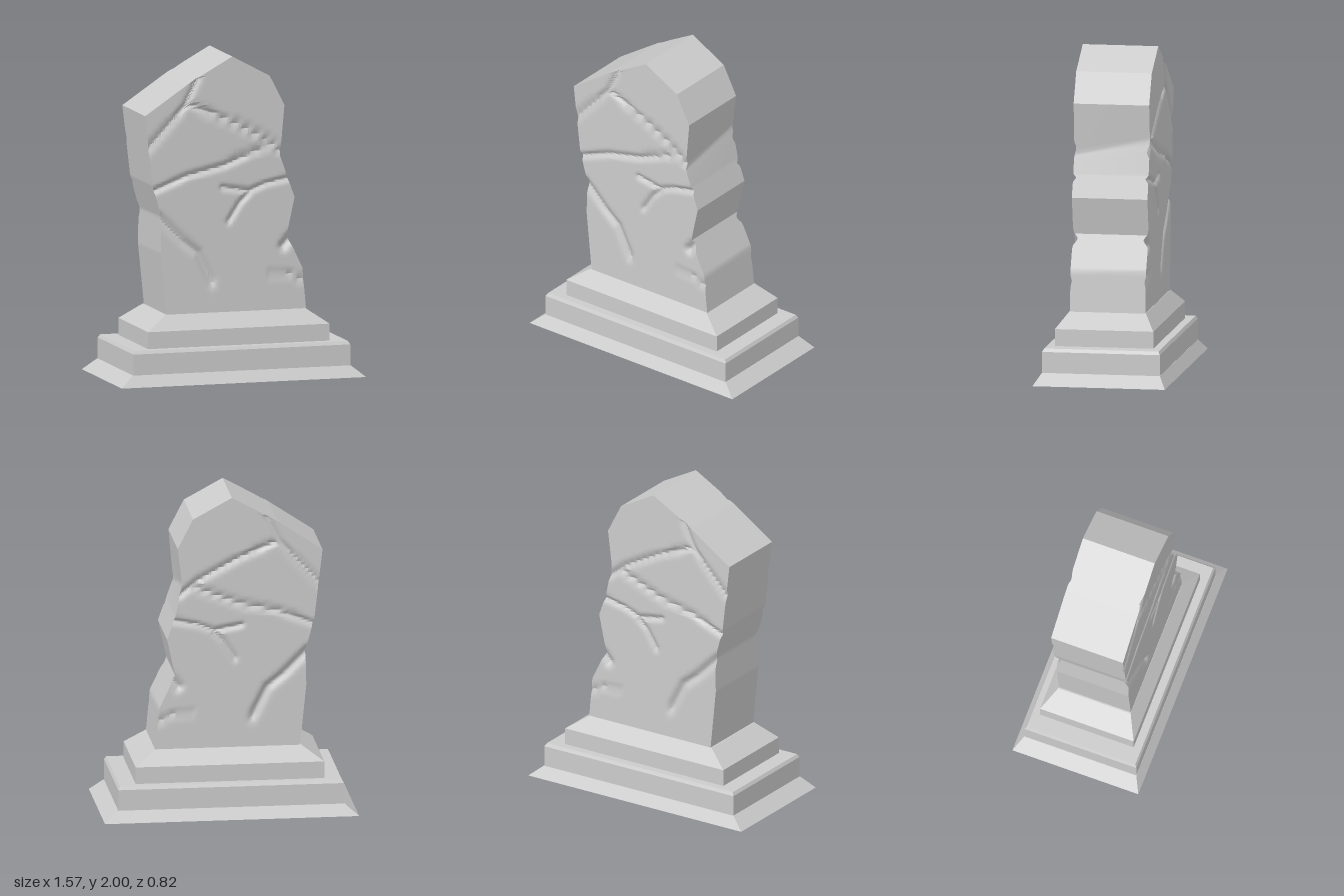
import * as THREE from 'three';
import { toCreasedNormals } from 'three/addons/utils/BufferGeometryUtils.js';

const stone = new THREE.MeshStandardMaterial({ color: 0xcccccc });

// Skin a stack of equal-length closed rings (counter-clockwise seen from below), with optional caps.
function loft(rings, caps, crease) {
  const n = rings[0].length, index = [];
  for (let r = 0; r < rings.length - 1; r++) {
    for (let i = 0; i < n; i++) {
      const a = r * n + i, b = r * n + (i + 1) % n;
      index.push(a, b, b + n, a, b + n, a + n);
    }
  }
  if (caps) {
    const t = (rings.length - 1) * n;
    for (let i = 1; i < n - 1; i++) index.push(0, i + 1, i, t, t + i, t + i + 1);
  }
  const g = new THREE.BufferGeometry();
  g.setAttribute('position', new THREE.Float32BufferAttribute(rings.flat(2), 3));
  g.setIndex(index);
  return toCreasedNormals(g, crease);
}

// Rectangular tier from [halfWidth, halfDepth, y] levels.
function tier(name, levels) {
  const rings = levels.map(([w, d, y]) => [[-w, y, d], [w, y, d], [w, y, -d], [-w, y, -d]]);
  const mesh = new THREE.Mesh(loft(rings, true, 0.3), stone);
  mesh.name = name;
  return mesh;
}

// Slab silhouette, bottom to top, as [x, y].
const LEFT = [[-0.44, 0.40], [-0.48, 0.8], [-0.475, 1.02], [-0.53, 1.22], [-0.58, 1.655], [-0.29, 1.85], [-0.02, 2]];
const rightEdge = notchY => [[0.455, 0.40], [0.43, 0.67], [0.33, 0.88], [0.38, 1.11], [0.33, 1.25],
  [0.287, notchY], [0.315, 1.685], [0.22, 1.87], [-0.02, 2]];

// Carved cracks: width, depth and path on the face.
const CRACKS = [
  { w: 0.026, d: 0.018, p: [[-0.24, 1.87], [-0.32, 1.71], [-0.42, 1.6], [-0.56, 1.45]] },
  { w: 0.024, d: 0.02, p: [[-0.29, 1.71], [-0.07, 1.62], [0.19, 1.48], [0.3, 1.39]] },
  { w: 0.024, d: 0.02, p: [[-0.54, 1.18], [-0.31, 1.27], [-0.07, 1.325], [0.22, 1.44]] },
  { w: 0.022, d: 0.018, p: [[-0.08, 1.19], [0.09, 1.16], [0.19, 1.2], [0.37, 1.235]] },
  { w: 0.024, d: 0.018, p: [[0.09, 1.15], [0.03, 1.09], [-0.04, 0.98]] },
  { w: 0.034, d: 0.024, p: [[-0.49, 1.02], [-0.34, 0.87], [-0.24, 0.79], [-0.15, 0.61]] },
  { w: 0.02, d: 0.014, p: [[0.22, 0.65], [0.33, 0.645], [0.44, 0.59]] },
  { w: 0.035, d: 0.03, p: [[0.31, 0.81], [0.36, 0.87]] },
];

function edgeX(edge, y) {
  let i = 0;
  while (i < edge.length - 2 && y > edge[i + 1][1]) i++;
  const [x0, y0] = edge[i], [x1, y1] = edge[i + 1];
  return x0 + (x1 - x0) * (y - y0) / (y1 - y0);
}

function pathDistance(path, x, y) {
  let best = Infinity;
  for (let i = 0; i < path.length - 1; i++) {
    const [ax, ay] = path[i], dx = path[i + 1][0] - ax, dy = path[i + 1][1] - ay;
    const t = Math.min(1, Math.max(0, ((x - ax) * dx + (y - ay) * dy) / (dx * dx + dy * dy)));
    best = Math.min(best, Math.hypot(x - ax - t * dx, y - ay - t * dy));
  }
  return best;
}

function faceZ(x, y) {
  let cut = 0;
  for (const { w, d, p } of CRACKS) cut = Math.max(cut, d * Math.exp(-((pathDistance(p, x, y) / w) ** 2) * 1.6));
  return 0.235 - cut;
}

// Row heights: every silhouette break, with even steps between.
function rowHeights(right) {
  const breaks = [...LEFT, ...right].map(p => p[1]).sort((a, b) => a - b)
    .filter((y, i, all) => i === 0 || y - all[i - 1] > 1e-6);
  const rows = [];
  for (let i = 0; i < breaks.length - 1; i++) {
    for (let k = 0; k < 8; k++) rows.push(breaks[i] + (breaks[i + 1] - breaks[i]) * k / 8);
  }
  return [...rows, 2];
}

// Broken standing stone: front and back faces share the cracks, the side notch slants in depth.
function makeSlab() {
  const COLS = 90, front = rightEdge(1.37), back = rightEdge(1.46);
  const frontRows = rowHeights(front), backRows = rowHeights(back);
  const row = (edge, y, side) => {
    const l = edgeX(LEFT, y), r = edgeX(edge, y), pts = [];
    for (let c = 0; c <= COLS; c++) {
      const x = l + (r - l) * c / COLS;
      pts.push([x, y, side * faceZ(x, y)]);
    }
    return pts;
  };
  const rings = frontRows.map((y, i) => [...row(front, y, 1), ...row(back, backRows[i], -1).reverse()]);
  const mesh = new THREE.Mesh(loft(rings, false, 0.55), stone);
  mesh.name = 'crackedSlab';
  return mesh;
}

export function createModel() {
  const model = new THREE.Group();
  model.name = 'stoneMonument';
  model.add(
    tier('flaredFoot', [[0.785, 0.412, 0], [0.7, 0.367, 0.07]]),
    tier('lowerPlinth', [[0.697, 0.366, 0.07], [0.697, 0.366, 0.2], [0.685, 0.355, 0.22]]),
    tier('upperPlinth', [[0.583, 0.306, 0.21], [0.583, 0.306, 0.325]]),
    tier('slopedCollar', [[0.583, 0.306, 0.325], [0.45, 0.237, 0.417]]),
    makeSlab(),
  );
  return model;
}
